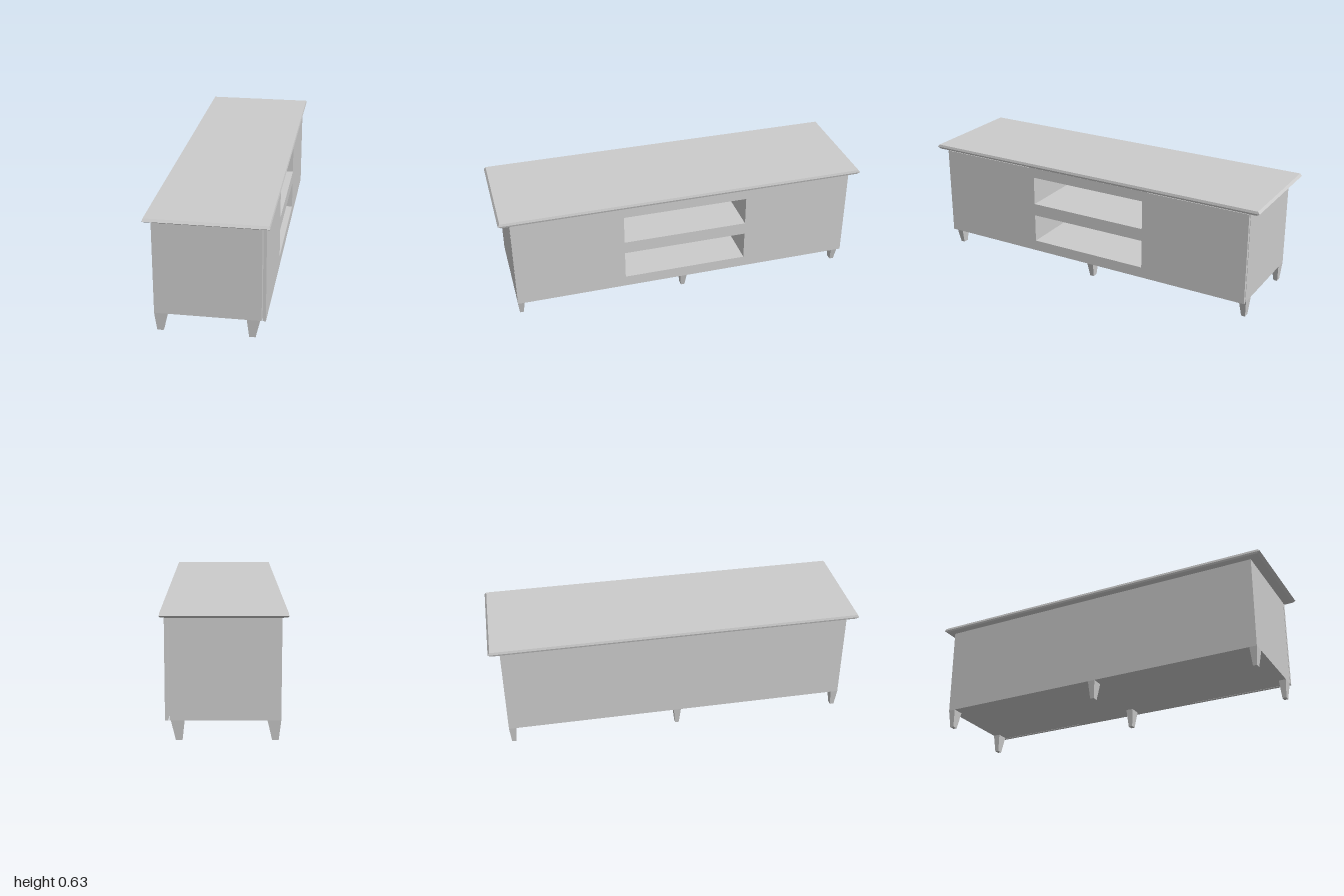
import * as THREE from 'three';

const material = new THREE.MeshStandardMaterial({ color: 0xcccccc, flatShading: true });

// Six-faced frustum loft: each ring is [y, x0, x1, z0, z1], listed bottom to top.
function loft(rings) {
  const corners = rings.map(([y, x0, x1, z0, z1]) =>
    [[x0, y, z1], [x1, y, z1], [x1, y, z0], [x0, y, z0]]);
  const pos = [];
  const quad = (a, b, c, d) => pos.push(...a, ...b, ...c, ...a, ...c, ...d);
  for (let r = 0; r < corners.length - 1; r++) {
    for (let i = 0; i < 4; i++) {
      const j = (i + 1) % 4;
      quad(corners[r][i], corners[r][j], corners[r + 1][j], corners[r + 1][i]);
    }
  }
  quad(...corners[corners.length - 1]);
  quad(...[...corners[0]].reverse());
  const g = new THREE.BufferGeometry();
  g.setAttribute('position', new THREE.Float32BufferAttribute(pos, 3));
  g.computeVertexNormals();
  return g;
}

function rectangle(Type, halfWidth, y0, y1) {
  const p = new Type();
  p.moveTo(-halfWidth, y0);
  p.lineTo(halfWidth, y0);
  p.lineTo(halfWidth, y1);
  p.lineTo(-halfWidth, y1);
  p.closePath();
  return p;
}

// Upright slab from x0 to x1, pierced by the two shelf openings.
function piercedSlab(halfWidth, x0, x1) {
  const shape = rectangle(THREE.Shape, halfWidth, 0.1, 0.602);
  for (const [y0, y1] of [[0.16, 0.318], [0.387, 0.546]]) {
    shape.holes.push(rectangle(THREE.Path, 0.342, y0, y1));
  }
  const g = new THREE.ExtrudeGeometry(shape, { depth: x1 - x0, bevelEnabled: false });
  return g.rotateY(Math.PI / 2).translate(x0, 0, 0);
}

function slab(x0, x1, y0, y1, z0, z1) {
  return new THREE.BoxGeometry(x1 - x0, y1 - y0, z1 - z0)
    .translate((x0 + x1) / 2, (y0 + y1) / 2, (z0 + z1) / 2);
}

export function createModel() {
  const model = new THREE.Group();
  const add = (name, geometry) => {
    const mesh = new THREE.Mesh(geometry, material);
    mesh.name = name;
    model.add(mesh);
    return mesh;
  };

  // Cabinet with two open shelves, closed at the back
  add('cabinetBody', piercedSlab(0.94, -0.26, 0.262));
  add('backPanel', slab(-0.275, -0.26, 0.1, 0.602, -0.94, 0.94));
  add('shelfFrame', piercedSlab(0.37, 0.262, 0.283));

  // Doors stand a hair off the cabinet on either side of the shelves
  add('leftDoor', slab(0.267, 0.283, 0.1, 0.6, -0.94, -0.37));
  add('rightDoor', slab(0.267, 0.283, 0.1, 0.6, 0.37, 0.94));

  // Table top with moulded edge
  add('top', loft([
    [0.6, -0.275, 0.275, -0.94, 0.94],
    [0.61, -0.3, 0.3, -0.983, 0.983],
    [0.62, -0.303, 0.303, -1, 1],
    [0.633, -0.3, 0.3, -0.99, 0.99],
  ]));

  // Six tapered legs
  const leg = loft([
    [0, 0.011, 0.043, -0.011, 0.011],
    [0.1, 0, 0.066, -0.02, 0.02],
  ]);
  for (const x of [-0.275, 0.189]) {
    for (const z of [-0.92, 0, 0.92]) add('leg', leg).position.set(x, 0, z);
  }
  return model;
}
